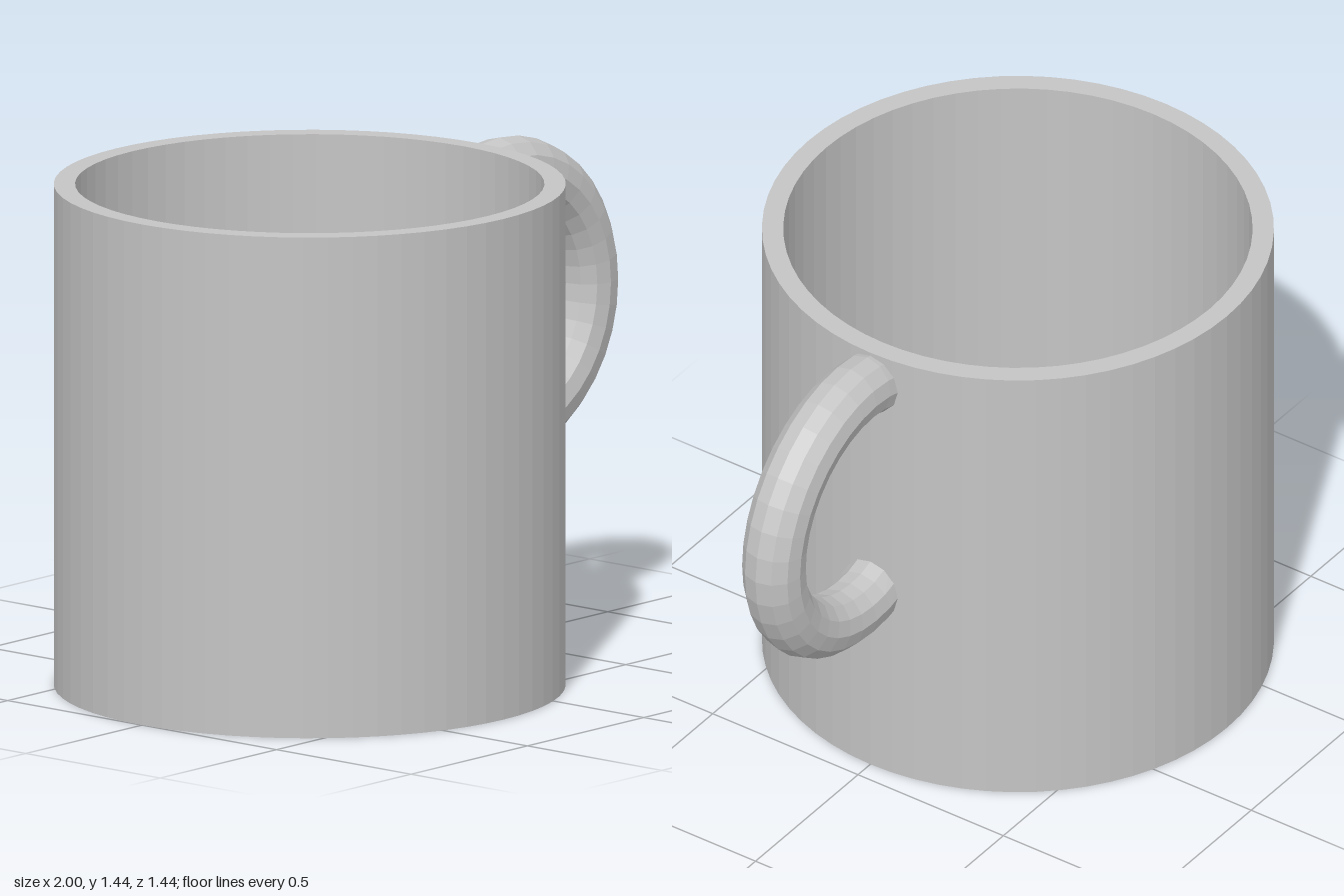
import * as THREE from 'three';

const CUP_X = -0.28, OUTER = 0.72, INNER = 0.66, HEIGHT = 1.44, FLOOR = 0.06;
const RING = 0.375, TUBE = 0.09;

// Hollow cup: one closed profile turned about its axis
function makeCup(material) {
  const profile = [
    [0, 0], [OUTER, 0], [OUTER, HEIGHT], [INNER, HEIGHT], [INNER, FLOOR], [0, FLOOR],
  ].map(([r, y]) => new THREE.Vector2(r, y));
  const cup = new THREE.Mesh(new THREE.LatheGeometry(profile, 64), material);
  cup.name = 'cup';
  cup.position.x = CUP_X;
  return cup;
}

// Ring handle whose two ends are cut flat inside the cup wall
function makeHandle(material) {
  const steps = 22, sides = 12, cut = -0.13;
  const geometry = new THREE.TorusGeometry(RING, TUBE, sides, steps, THREE.MathUtils.degToRad(220));
  geometry.rotateZ(THREE.MathUtils.degToRad(-110));
  const p = geometry.attributes.position;
  for (let j = 0; j <= sides; j++) {
    for (const i of [0, steps]) {
      const k = j * (steps + 1) + i;
      const r = Math.hypot(p.getX(k), p.getY(k));
      p.setX(k, cut);
      p.setY(k, Math.sign(p.getY(k)) * Math.sqrt(r * r - cut * cut));
    }
  }
  geometry.computeVertexNormals();
  const handle = new THREE.Mesh(geometry, material);
  handle.name = 'handle';
  handle.position.set(0.535, 0.975, 0);
  return handle;
}

export function createModel() {
  const grey = new THREE.MeshStandardMaterial({ color: 0xc4c4c4, flatShading: true });
  grey.name = 'light grey';
  const mug = new THREE.Group();
  mug.name = 'mug';
  mug.add(makeCup(grey), makeHandle(grey));
  return mug;
}
